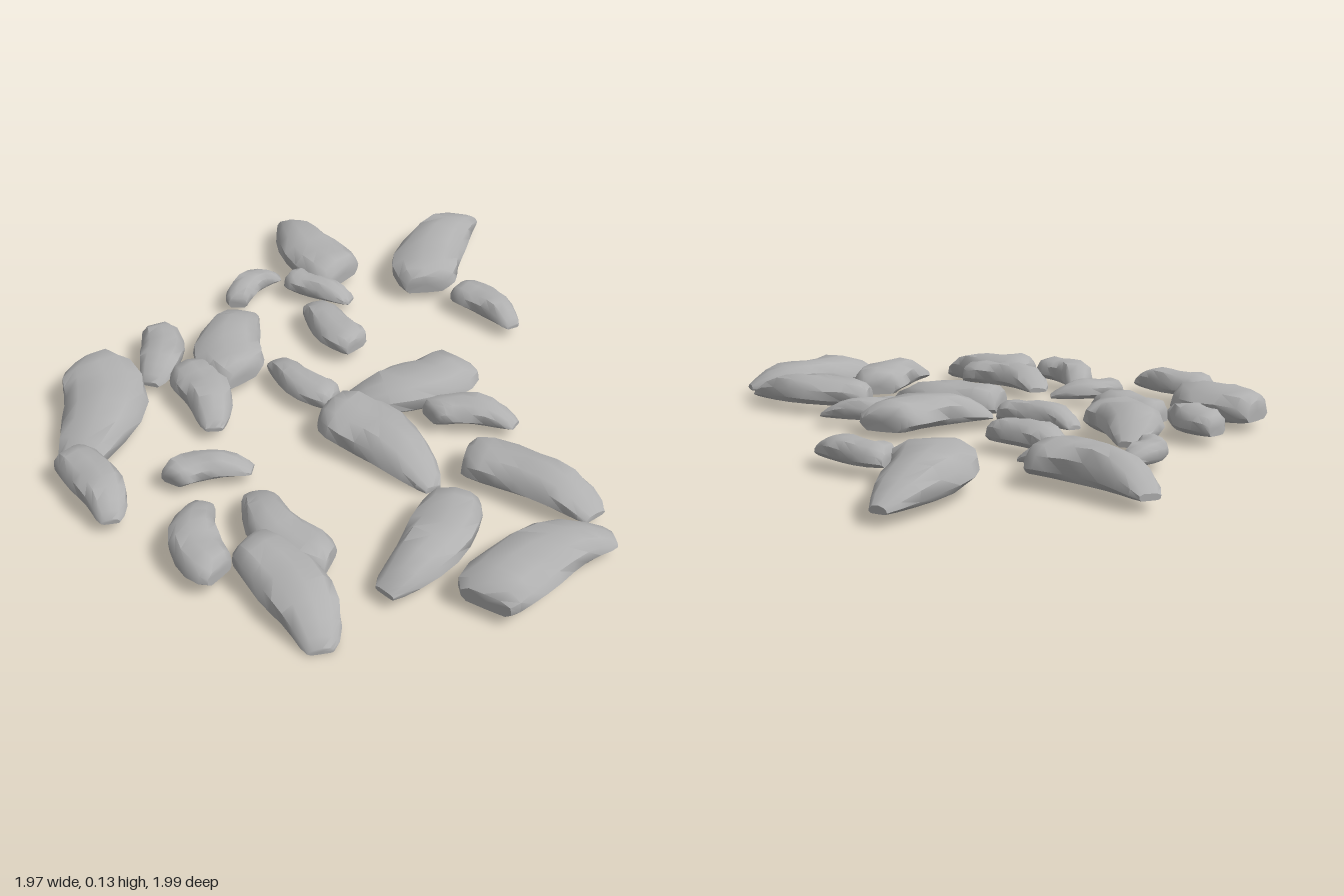
import * as THREE from 'three';
import { toCreasedNormals } from 'three/addons/utils/BufferGeometryUtils.js';

// Cross-section of a stone: across (-0.5..0.5) and up (0..1)
const SECTION = [
  [-0.38, 0.02], [0, 0], [0.39, 0.02], [0.5, 0.24], [0.48, 0.6], [0.33, 0.9],
  [0.05, 1], [-0.28, 0.95], [-0.46, 0.66], [-0.5, 0.26],
];
// Stations along a stone: position, width factor, height factor
const STATIONS = [
  [0, 0.74, 0.62], [0.05, 0.92, 0.84], [0.16, 1, 0.95], [0.3, 1, 0.93], [0.45, 1, 0.98],
  [0.6, 1, 1], [0.74, 1, 0.93], [0.86, 1, 0.7], [0.95, 0.95, 0.42], [1, 0.75, 0.2],
];

// Bent slab from a blunt end a through m to a thin end b (x, z), with three widths
function stoneGeometry([a, m, b], [wa, wm, wb], height, yA, yB, seed) {
  const at = (p) => new THREE.Vector3(p[0], 0, p[1]);
  const control = at(m).multiplyScalar(2).addScaledVector(at(a), -0.5).addScaledVector(at(b), -0.5);
  const spine = new THREE.QuadraticBezierCurve3(at(a), control, at(b));
  const up = new THREE.Vector3(0, 1, 0);
  const n = SECTION.length;
  const positions = [];
  const index = [];

  STATIONS.forEach(([t, wf, hf], i) => {
    const p = spine.getPoint(t);
    const side = new THREE.Vector3().crossVectors(up, spine.getTangent(t)).normalize();
    const width = wf * (wa * (1 - t) * (1 - 2 * t) + wm * 4 * t * (1 - t) + wb * t * (2 * t - 1));
    const base = yA + (yB - yA) * t;
    SECTION.forEach(([u, v], j) => {
      // gentle unevenness of the worn surface
      const wave = Math.sin(seed * 2.3 + i * 1.25 + j * 1.7);
      const q = p.clone().addScaledVector(side, u * width * (1 + 0.05 * wave));
      positions.push(q.x, base + v * height * hf * (1 + 0.06 * wave), q.z);
      if (i > 0) {
        const k = (j + 1) % n;
        const r0 = (i - 1) * n, r1 = i * n;
        index.push(r0 + j, r0 + k, r1 + k, r0 + j, r1 + k, r1 + j);
      }
    });
  });

  // end faces
  const last = (STATIONS.length - 1) * n;
  const first = positions.length / 3;
  positions.push(a[0], yA + height * 0.32, a[1], b[0], yB + height * 0.1, b[1]);
  for (let j = 0; j < n; j++) {
    const k = (j + 1) % n;
    index.push(first, k, j, first + 1, last + j, last + k);
  }

  const geometry = new THREE.BufferGeometry();
  geometry.setAttribute('position', new THREE.Float32BufferAttribute(positions, 3));
  geometry.setIndex(index);
  return toCreasedNormals(geometry, 0.85);
}

export function createModel() {
  const group = new THREE.Group();
  group.name = 'scatteredStones';
  const stoneGrey = new THREE.MeshStandardMaterial({ color: 0xb0b0b0 });
  stoneGrey.name = 'stoneGrey';

  let count = 0;
  const stone = (name, path, widths, height, yA = 0.035, yB = 0.035) => {
    count++;
    const mesh = new THREE.Mesh(stoneGeometry(path, widths, height, yA, yB, count), stoneGrey);
    mesh.name = name + count;
    group.add(mesh);
  };

  // back right
  stone('largeStone', [[0.35, -0.57], [0.36, -0.77], [0.455, -1]], [0.22, 0.19, 0.08], 0.095);
  stone('largeStone', [[0.52, -0.33], [0.7, -0.49], [0.98, -0.58]], [0.2, 0.22, 0.07], 0.1);
  stone('smallStone', [[-0.02, -0.68], [0.08, -0.745], [0.2, -0.73]], [0.08, 0.09, 0.04], 0.06);
  stone('smallStone', [[0.2, -0.68], [0.24, -0.58], [0.29, -0.46]], [0.09, 0.1, 0.06], 0.06, 0.04, 0.03);
  stone('smallStone', [[0.11, -0.225], [0.12, -0.37], [0.17, -0.52]], [0.12, 0.135, 0.06], 0.07);
  stone('smallStone', [[0.585, -0.25], [0.6, -0.12], [0.58, 0.02]], [0.12, 0.12, 0.06], 0.065);

  // back left
  stone('mediumStone', [[-0.27, -0.32], [-0.21, -0.48], [-0.02, -0.61]], [0.17, 0.21, 0.08], 0.09);
  stone('smallStone', [[-0.33, -0.715], [-0.38, -0.6], [-0.5, -0.5]], [0.1, 0.14, 0.08], 0.075);
  stone('mediumStone', [[-0.39, -0.48], [-0.41, -0.33], [-0.49, -0.18]], [0.13, 0.15, 0.07], 0.075);
  stone('largeStone', [[-0.61, -0.69], [-0.68, -0.48], [-0.91, -0.32]], [0.18, 0.25, 0.1], 0.1, 0.035, 0.005);
  stone('smallStone', [[-0.9, -0.345], [-0.9, -0.18], [-0.955, -0.03]], [0.12, 0.14, 0.07], 0.075);
  stone('smallStone', [[-0.73, -0.06], [-0.63, -0.05], [-0.52, 0.045]], [0.09, 0.11, 0.06], 0.06);

  // centre
  stone('smallStone', [[-0.13, -0.05], [-0.16, -0.19], [-0.13, -0.34]], [0.11, 0.11, 0.06], 0.065);
  stone('largeStone', [[0.27, 0.08], [0.08, 0.08], [-0.12, -0.02]], [0.18, 0.2, 0.1], 0.09);
  stone('largeStone', [[-0.2, 0], [-0.155, 0.2], [-0.17, 0.43]], [0.18, 0.21, 0.07], 0.095, 0.042, 0.005);
  stone('smallStone', [[0.03, 0.2], [0.13, 0.26], [0.2, 0.4]], [0.1, 0.12, 0.06], 0.065);

  // front left
  stone('smallStone', [[-0.86, 0.345], [-0.84, 0.2], [-0.71, 0.08]], [0.13, 0.14, 0.06], 0.075);
  stone('mediumStone', [[-0.61, 0.5], [-0.65, 0.32], [-0.57, 0.14]], [0.13, 0.15, 0.08], 0.075);
  stone('mediumStone', [[-0.755, 0.32], [-0.75, 0.52], [-0.82, 0.71]], [0.15, 0.19, 0.09], 0.09, 0.042, 0.005);

  // front
  stone('mediumStone', [[-0.19, 0.53], [-0.35, 0.635], [-0.58, 0.68]], [0.16, 0.18, 0.09], 0.085);
  stone('mediumStone', [[-0.04, 0.43], [0.04, 0.62], [0.06, 0.84]], [0.16, 0.17, 0.1], 0.085);
  stone('largeStone', [[-0.42, 0.89], [-0.19, 0.865], [0.03, 0.935]], [0.2, 0.2, 0.08], 0.085);

  return group;
}
